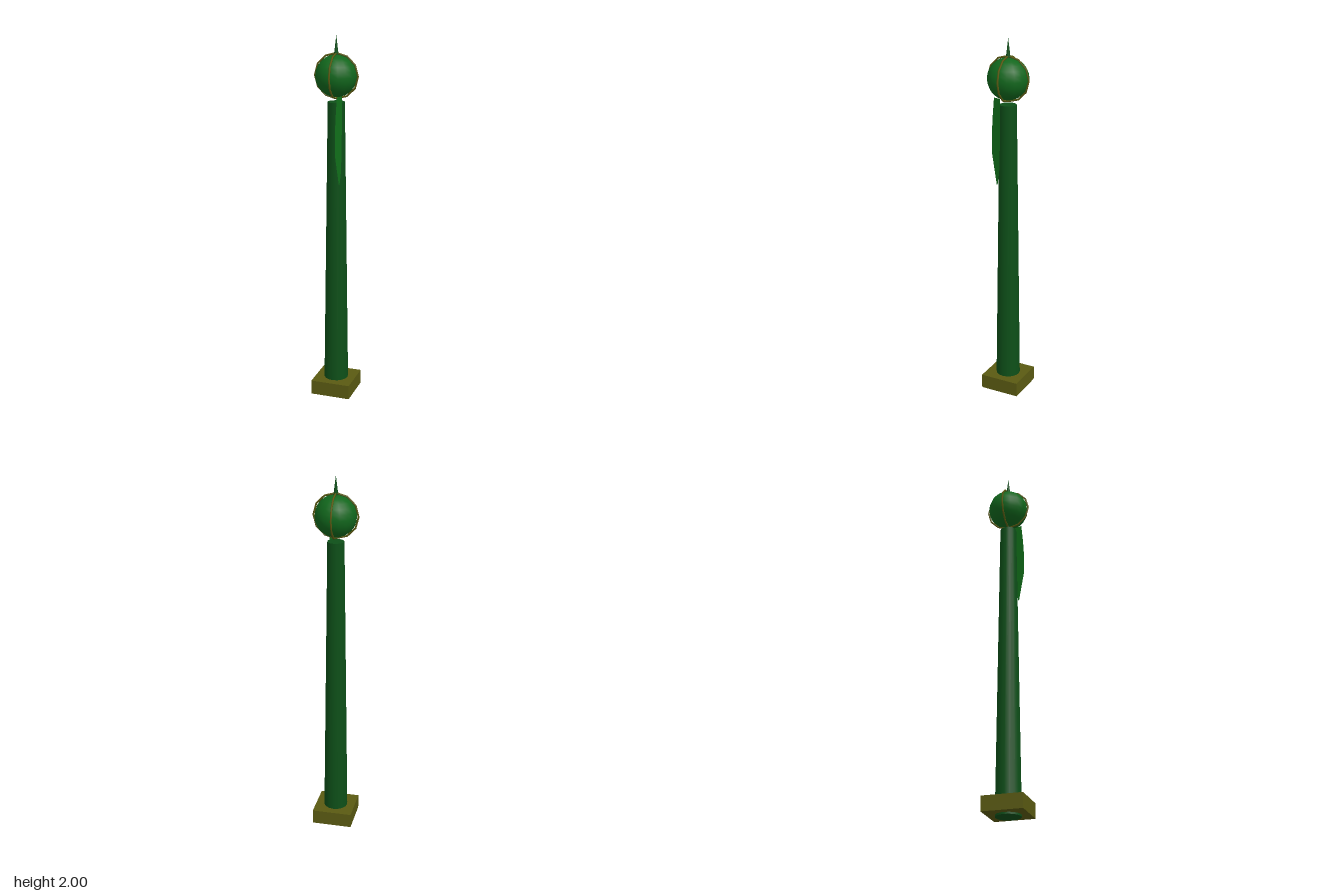
import * as THREE from 'three';

export function createModel() {
  const model = new THREE.Group();
  const green = new THREE.MeshStandardMaterial({ color: 0x0d4f18 });
  const brightGreen = new THREE.MeshStandardMaterial({ color: 0x11661c });
  const olive = new THREE.MeshStandardMaterial({ color: 0x5a5a12 });
  const leafGreen = new THREE.MeshStandardMaterial({ color: 0x11701a, side: THREE.DoubleSide });

  function add(name, geometry, material, y = 0) {
    const mesh = new THREE.Mesh(geometry, material);
    mesh.name = name;
    mesh.position.y = y;
    model.add(mesh);
    return mesh;
  }

  // Square foot, with the pole poking slightly out below it
  add('base', new THREE.BoxGeometry(0.22, 0.08, 0.22), olive, 0.05);

  // Long tapered pole
  add('pole', new THREE.CylinderGeometry(0.045, 0.068, 1.655, 16), green, 0.8275);

  // Ball held between two crossed upright rings
  add('ball', new THREE.SphereGeometry(0.11, 16, 12), brightGreen, 1.79);
  for (const side of [0, 1]) {
    const ring = add(side ? 'sideRing' : 'frontRing',
      new THREE.TorusGeometry(0.118, 0.005, 6, 12), olive, 1.79);
    ring.rotation.y = side * Math.PI / 2;
  }

  // Pointed finial
  add('spike', new THREE.ConeGeometry(0.015, 0.12, 8), green, 1.94);

  // Thin blade hugging the front of the pole: rows of [y, inner z, outer z]
  const rows = [[1.69, 0.027, 0.069], [1.58, 0.027, 0.08], [1.48, 0.028, 0.086],
    [1.38, 0.03, 0.084], [1.29, 0.034, 0.066], [1.22, 0.046, 0.052]];
  const positions = [], index = [];
  const depthToX = z => 0.04 - (z - 0.027) * 0.32;
  rows.forEach(([y, inner, outer], i) => {
    positions.push(depthToX(inner), y, inner, depthToX(outer), y, outer);
    if (i) {
      const a = 2 * i - 2;
      index.push(a, a + 1, a + 2, a + 1, a + 3, a + 2);
    }
  });
  const blade = new THREE.BufferGeometry();
  blade.setAttribute('position', new THREE.Float32BufferAttribute(positions, 3));
  blade.setIndex(index);
  blade.computeVertexNormals();
  add('blade', blade, leafGreen);

  return model;
}
